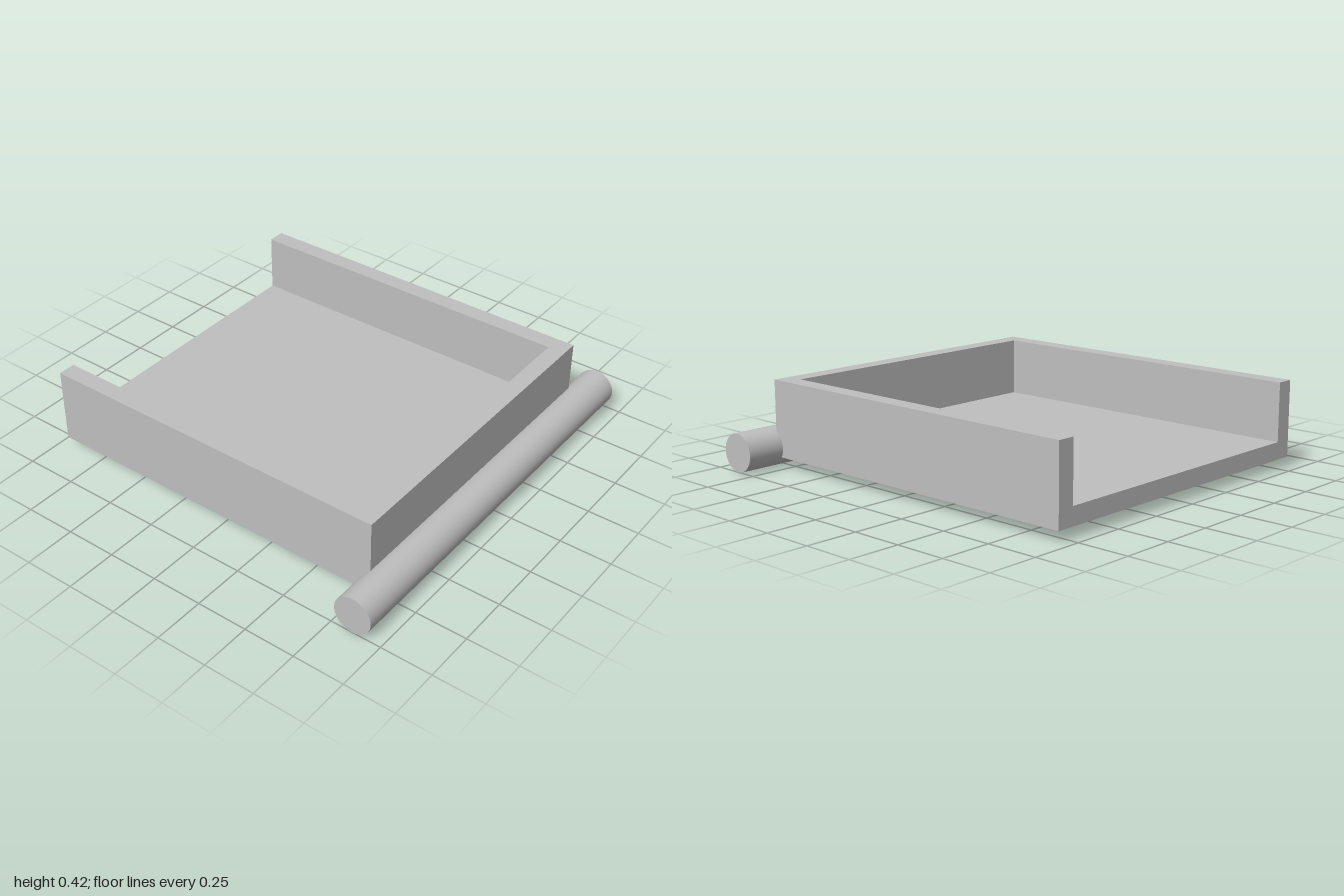
import * as THREE from 'three';

export function createModel() {
  const model = new THREE.Group();
  const grey = new THREE.MeshStandardMaterial({ color: 0xbfbfbf });
  grey.name = 'light grey';

  const add = (name, geometry, x, y, z) => {
    const mesh = new THREE.Mesh(geometry, grey);
    mesh.name = name;
    mesh.position.set(x, y, z);
    model.add(mesh);
    return mesh;
  };

  const left = -0.95, right = 0.81, half = 0.81;
  const bottom = 0.05, top = 0.417, wall = 0.085;

  // Tray floor
  add('trayFloor', new THREE.BoxGeometry(right - left, wall, half * 2),
    (left + right) / 2, bottom + wall / 2, 0);

  // U-shaped rim, open towards -x
  const inner = half - wall;
  const rim = new THREE.Shape([
    [left, -half], [right, -half], [right, half], [left, half],
    [left, inner], [right - wall, inner], [right - wall, -inner], [left, -inner],
  ].map(([x, y]) => new THREE.Vector2(x, y)));
  const rimGeometry = new THREE.ExtrudeGeometry(rim, {
    depth: top - bottom - wall, bevelEnabled: false,
  });
  rimGeometry.rotateX(-Math.PI / 2);
  add('trayWalls', rimGeometry, 0, bottom + wall, 0);

  // Round bar along the lower closed edge
  const radius = 0.092;
  const bar = new THREE.CylinderGeometry(radius, radius, 2, 64);
  bar.rotateX(Math.PI / 2);
  add('roundBar', bar, 0.858, radius, 0);

  return model;
}
